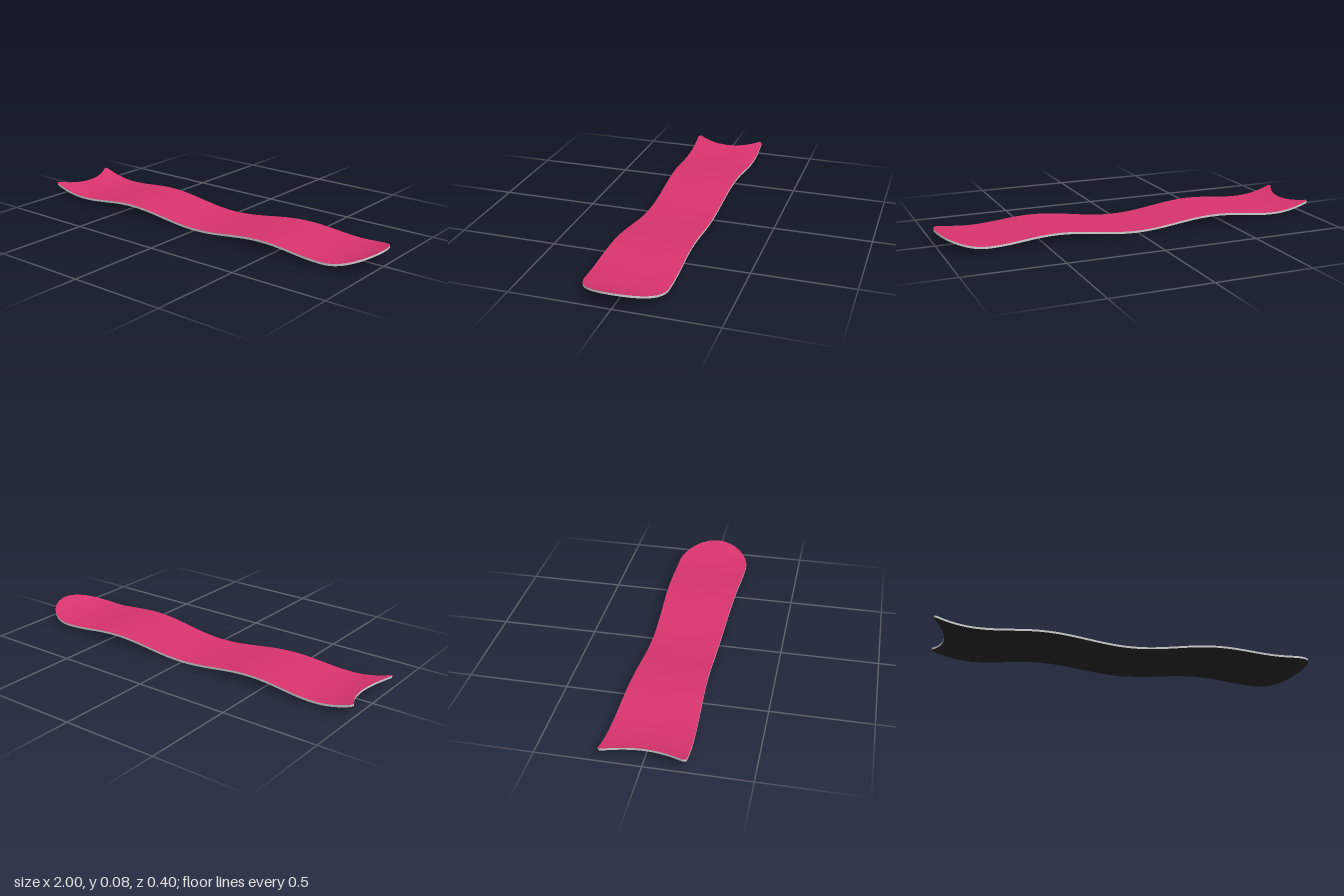
import * as THREE from 'three';

const THICK = 0.011, NU = 120, NV = 56;

// Height of the base along the board: turning points joined by smooth waves, ends kicked up
const TURNS = [[-0.78, 0.018], [-0.45, 0.041], [0, 0], [0.45, 0.041], [0.78, 0.018]];
function baseHeight(x) {
  if (x < -0.78) return 0.018 + 0.044 * ((x + 0.78) / 0.22) ** 2;
  if (x > 0.78) return 0.018 + 0.053 * ((x - 0.78) / 0.22) ** 2;
  const k = Math.max(1, TURNS.findIndex((p) => x <= p[0]));
  const [x0, y0] = TURNS[k - 1], [x1, y1] = TURNS[k];
  return y0 + (y1 - y0) * (1 - Math.cos(Math.PI * (x - x0) / (x1 - x0))) / 2;
}

// Sidecut: narrow at the waist, full width at nose and tail
function halfWidth(x) {
  const s = x < -0.1 ? Math.min(1, (-0.1 - x) / 0.88) : Math.min(1, (x + 0.1) / 0.9);
  return 0.176 + 0.024 * (1 - Math.cos(Math.PI * s)) / 2;
}

// Swallow tail with rounded tips
function tailX(a) {
  if (a < 0.18) return -0.943 - 1.7 * a * a;
  return -0.987 - Math.sqrt(Math.max(0, 0.013 ** 2 - (a - 0.187) ** 2));
}

// Point on the board: u runs tail to nose, t runs edge to edge (-1..1)
function point(u, t, lift) {
  const v = Math.sin(t * Math.PI / 2);
  const start = tailX(Math.abs(v) * 0.2);
  const end = 0.8 + 0.2 * Math.sqrt(Math.max(0, 1 - v * v));
  const x = start + (end - start) * u;
  return [x, baseHeight(x) + lift, v * halfWidth(x)];
}

// Smooth sheet over a grid of points
function sheet(name, color, ni, nj, fn) {
  const pos = [], index = [];
  for (let i = 0; i <= ni; i++) {
    for (let j = 0; j <= nj; j++) {
      pos.push(...fn(i, j));
      if (i < ni && j < nj) {
        const a = i * (nj + 1) + j, c = a + nj + 1;
        index.push(a, a + 1, c, a + 1, c + 1, c);
      }
    }
  }
  const geo = new THREE.BufferGeometry();
  geo.setAttribute('position', new THREE.Float32BufferAttribute(pos, 3));
  geo.setIndex(index);
  geo.computeVertexNormals();
  const mesh = new THREE.Mesh(geo, new THREE.MeshStandardMaterial({ color }));
  mesh.name = name;
  return mesh;
}

export function createModel() {
  const board = new THREE.Group();
  board.name = 'snowboard';

  // Deck and base
  board.add(sheet('topSheet', 0xd6336c, NU, NV, (i, j) => point(i / NU, 2 * j / NV - 1, THICK)));
  board.add(sheet('base', 0x222222, NV, NU, (i, j) => point(j / NU, 2 * i / NV - 1, 0)));

  // Edge running round the whole outline
  const ring = [];
  for (let i = 0; i < NU; i++) ring.push([i / NU, -1]);
  for (let j = 0; j < NV; j++) ring.push([1, 2 * j / NV - 1]);
  for (let i = NU; i > 0; i--) ring.push([i / NU, 1]);
  for (let j = NV; j >= 0; j--) ring.push([0, 2 * j / NV - 1]);
  board.add(sheet('sidewall', 0xcccccc, ring.length - 1, 1, (i, j) => point(...ring[i], j * THICK)));

  return board;
}
